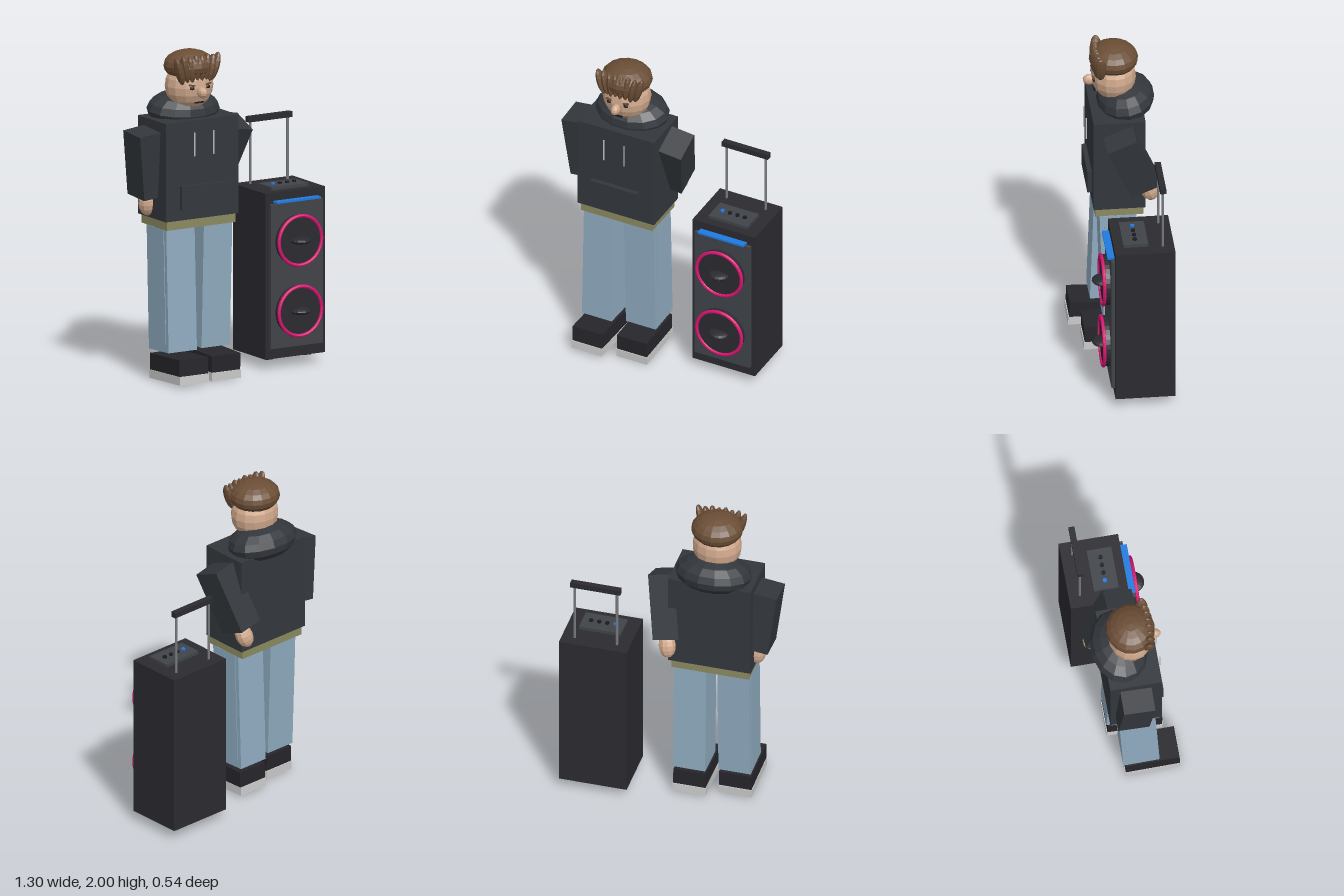
import * as THREE from 'three';

const mat = (color) => new THREE.MeshStandardMaterial({ color, flatShading: true });
const HOODIE = mat(0x33373c), SKIN = mat(0xd0a88c), HAIR = mat(0x6b4e36), JEANS = mat(0x8fabbf);
const HEM = mat(0x8b8a60), SHOE = mat(0x26262b), SOLE = mat(0xd4d4d0), BLACK = mat(0x1c1c20);
const CASE = mat(0x2a2a30), PANEL = mat(0x404348), PINK = mat(0xd6156f), BLUE = mat(0x1f7ae0);
const METAL = mat(0x77797d), WHITE = mat(0xeeeeee);

function add(parent, name, geometry, material, x, y, z) {
  const mesh = new THREE.Mesh(geometry, material);
  mesh.name = name;
  mesh.position.set(x, y, z);
  parent.add(mesh);
  return mesh;
}

const box = (parent, name, m, w, h, d, x, y, z) =>
  add(parent, name, new THREE.BoxGeometry(w, h, d), m, x, y, z);

function ball(parent, name, m, rx, ry, rz, x, y, z, ws = 12, hs = 8) {
  return add(parent, name, new THREE.SphereGeometry(1, ws, hs).scale(rx, ry, rz), m, x, y, z);
}

function rod(parent, name, m, r, length, x, y, z, sides = 12) {
  return add(parent, name, new THREE.CylinderGeometry(r, r, length, sides), m, x, y, z);
}

function group(parent, name, x = 0, y = 0, z = 0) {
  const g = new THREE.Group();
  g.name = name;
  g.position.set(x, y, z);
  parent.add(g);
  return g;
}

// Leg with its shoe, swung from the hip; side is +1 for the outer side at +x
function addLeg(parent, name, x, side, swing) {
  const leg = group(parent, name, x, 0.98, 0);
  leg.rotation.x = swing;
  box(leg, 'trouserLeg', JEANS, 0.2, 0.79, 0.22, 0, -0.395, 0);
  box(leg, 'sidePanel', JEANS, 0.006, 0.7, 0.17, side * 0.101, -0.39, 0);
  box(leg, 'shoeUpper', SHOE, 0.2, 0.1, 0.33, 0, -0.866, 0.065);
  box(leg, 'shoeSole', SOLE, 0.204, 0.052, 0.34, 0, -0.942, 0.065);
}

// Sleeve with a hand below it
function addArm(parent, name, center, rx, rz, hand) {
  const arm = group(parent, name);
  const sleeve = box(arm, 'sleeve', HOODIE, 0.16, 0.4, 0.19, ...center);
  sleeve.rotation.set(rx, 0, rz);
  ball(arm, 'hand', SKIN, 0.053, 0.075, 0.053, ...hand, 10, 8).rotation.set(rx, 0, rz);
}

function addHead(parent) {
  const head = group(parent, 'head', -0.257, 0, 0);
  ball(head, 'face', SKIN, 0.15, 0.15, 0.135, 0, 1.785, 0, 14, 10);
  ball(head, 'nose', SKIN, 0.028, 0.034, 0.04, 0, 1.76, 0.145, 10, 8);
  for (const s of [-1, 1]) {
    ball(head, 'eye', BLACK, 0.017, 0.011, 0.01, s * 0.055, 1.788, 0.123, 8, 6);
    box(head, 'eyebrow', HAIR, 0.04, 0.008, 0.012, s * 0.057, 1.806, 0.125).rotation.z = s * 0.15;
  }
  box(head, 'mouth', BLACK, 0.06, 0.007, 0.012, 0, 1.696, 0.116);
  // Cap of hair and a fan of fringe locks
  ball(head, 'hairCap', HAIR, 0.157, 0.093, 0.148, 0, 1.907, 0, 16, 10);
  for (let i = 0; i < 8; i++) {
    const t = i / 3.5 - 1;
    const lock = ball(head, 'fringeLock', HAIR, 0.024, 0.088, 0.036,
      t * 0.125, 1.892 + (i % 2) * 0.008, 0.105 - 0.015 * t * t, 8, 8);
    lock.rotation.set(0.04, 0, -t * 0.28);
  }
}

function addPerson(parent) {
  const person = group(parent, 'person');
  box(person, 'hoodieBody', HOODIE, 0.512, 0.6, 0.312, -0.256, 1.297, -0.01);
  box(person, 'shirtHem', HEM, 0.48, 0.06, 0.29, -0.256, 0.972, -0.01);
  box(person, 'frontPocket', HOODIE, 0.315, 0.145, 0.035, -0.257, 1.135, 0.156);
  const hood = ball(person, 'hood', HOODIE, 0.235, 0.112, 0.175, -0.255, 1.63, -0.07, 14, 8);
  hood.rotation.x = 0.15;
  for (const s of [-1, 1]) {
    rod(person, 'drawstring', WHITE, 0.004, 0.145, -0.257 + s * 0.068, 1.457, 0.17, 6);
  }
  addArm(person, 'leftArm', [0.03, 1.345, -0.08], 0.39, -0.18, [0, 1.12, -0.187]);
  addArm(person, 'rightArm', [-0.551, 1.335, -0.025], 0.07, 0.12, [-0.522, 1.08, -0.05]);
  addLeg(person, 'leftLeg', -0.121, 1, 0.035);
  addLeg(person, 'rightLeg', -0.388, -1, -0.035);
  addHead(person);
}

function addSpeaker(parent) {
  const speaker = group(parent, 'speaker', 0.437, 0, 0);
  box(speaker, 'cabinet', CASE, 0.42, 1.012, 0.36, 0, 0.571, -0.095);
  box(speaker, 'frontPanel', PANEL, 0.37, 0.88, 0.03, 0, 0.57, 0.092);
  box(speaker, 'lightStrip', BLUE, 0.31, 0.012, 0.05, 0, 1.022, 0.103);

  // Two drivers with bright rims
  for (const y of [0.35, 0.78]) {
    const driver = group(speaker, 'driver', 0, y, 0);
    rod(driver, 'cone', CASE, 0.152, 0.045, 0, 0, 0.122, 32).rotation.x = Math.PI / 2;
    add(driver, 'rim', new THREE.TorusGeometry(0.15, 0.011, 8, 40), PINK, 0, 0, 0.144);
    ball(driver, 'dustCap', CASE, 0.065, 0.022, 0.062, 0, 0, 0.144, 16, 10);
  }

  // Control plate on top
  box(speaker, 'controlPlate', PANEL, 0.26, 0.02, 0.15, 0, 1.087, -0.045);
  for (let i = 0; i < 4; i++) {
    rod(speaker, 'knob', i ? BLACK : BLUE, 0.013, 0.014, -0.075 + i * 0.05, 1.1, -0.045);
  }

  // Pull handle, feet and wheels
  for (const s of [-1, 1]) {
    rod(speaker, 'handlePost', METAL, 0.008, 0.39, s * 0.131, 1.265, -0.207, 10);
    box(speaker, 'foot', BLACK, 0.055, 0.024, 0.05, s * 0.132, 0.057, -0.01);
    rod(speaker, 'wheel', BLACK, 0.04, 0.05, s * 0.132, 0.086, -0.2, 14).rotation.z = Math.PI / 2;
  }
  box(speaker, 'handleGrip', CASE, 0.31, 0.034, 0.036, 0, 1.473, -0.207);
}

export function createModel() {
  const model = new THREE.Group();
  model.name = 'personWithSpeaker';
  addPerson(model);
  addSpeaker(model);
  return model;
}
